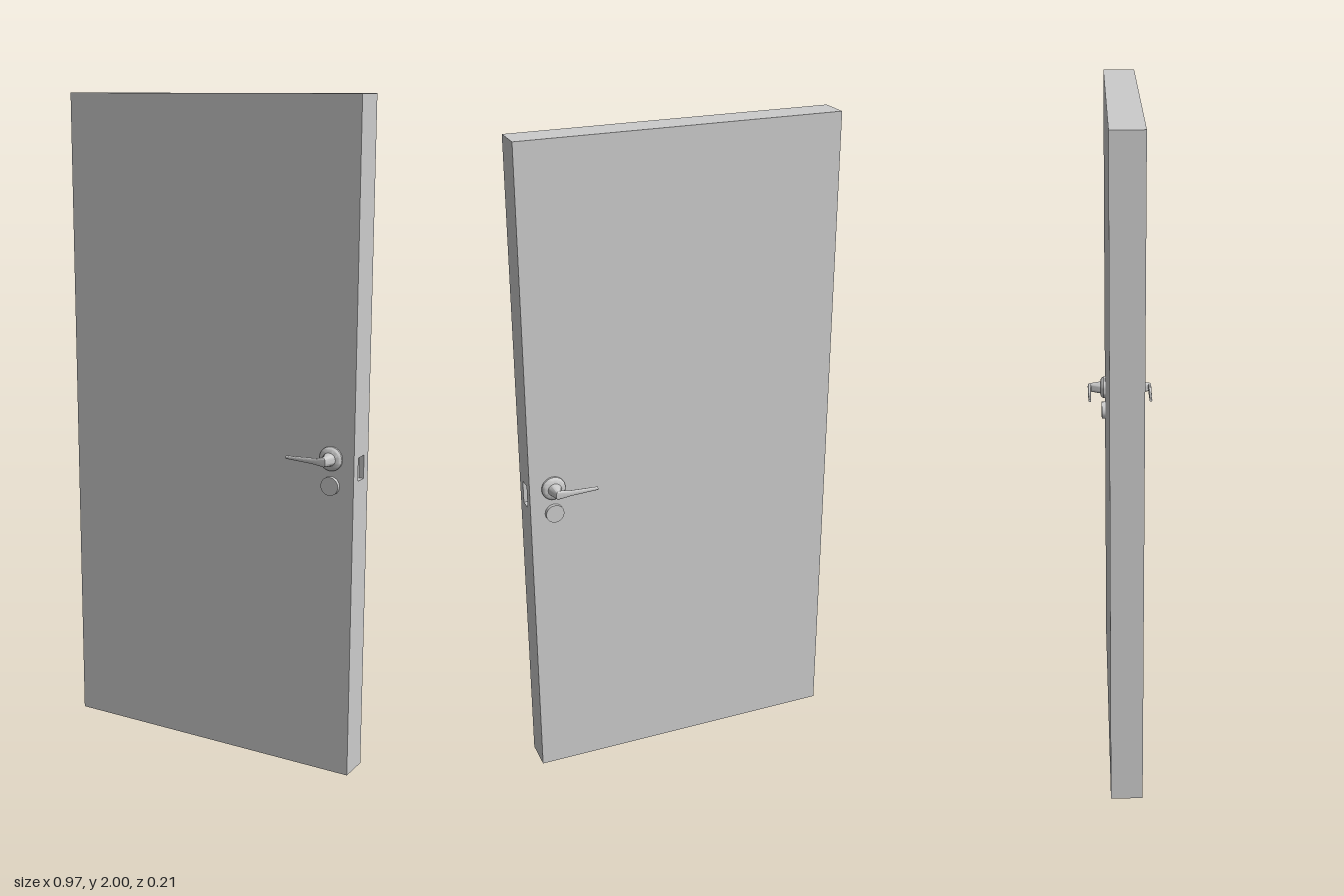
import * as THREE from 'three';
import { toCreasedNormals } from 'three/addons/utils/BufferGeometryUtils.js';

const material = new THREE.MeshStandardMaterial({ color: 0xcccccc });
const WIDTH = 0.97, HEIGHT = 2, DEPTH = 0.095, MID_Z = -0.0025;
const RECESS = 0.015;
const KNOB_X = 0.413, HANDLE_Y = 0.977, LOCK_Y = 0.896;

function add(parent, name, geometry, x = 0, y = 0, z = 0) {
  const mesh = new THREE.Mesh(geometry, material);
  mesh.name = name;
  mesh.position.set(x, y, z);
  parent.add(mesh);
  return mesh;
}

// Clockwise-safe rectangle outline, used for the edge strip and its latch opening
function rectangle(Type, x0, y0, x1, y1) {
  const path = new Type();
  path.moveTo(x0, y0).lineTo(x1, y0).lineTo(x1, y1).lineTo(x0, y1).closePath();
  return path;
}

// Loft of ellipses; each section is [inner x, inner z, outer x, outer z, half height]
function leverGeometry(sections, sides = 20) {
  const positions = [], index = [];
  for (const [ix, iz, ox, oz, h] of sections) {
    for (let i = 0; i < sides; i++) {
      const t = (i / sides) * Math.PI * 2, c = Math.cos(t) / 2;
      positions.push((ix + ox) / 2 + (ox - ix) * c, h * Math.sin(t), (iz + oz) / 2 + (oz - iz) * c);
    }
  }
  for (let s = 0; s < sections.length - 1; s++) {
    for (let i = 0; i < sides; i++) {
      const a = s * sides + i, b = s * sides + (i + 1) % sides;
      index.push(a, b, b + sides, a, b + sides, a + sides);
    }
  }
  // Close the tip
  const last = (sections.length - 1) * sides;
  for (let i = 1; i < sides - 1; i++) index.push(last, last + i, last + i + 1);
  const geometry = new THREE.BufferGeometry();
  geometry.setAttribute('position', new THREE.Float32BufferAttribute(positions, 3));
  geometry.setIndex(index);
  return toCreasedNormals(geometry, 0.7);
}

// Rose and bent lever, with the door face at z = 0
function createHandle(name) {
  const handle = new THREE.Group();
  handle.name = name;
  const profile = [[0.036, 0], [0.036, 0.006], [0.031, 0.013], [0.025, 0.016], [0, 0.016]]
    .map(([r, d]) => new THREE.Vector2(r, d));
  const rose = new THREE.LatheGeometry(profile, 28).rotateX(Math.PI / 2);
  add(handle, 'rose', toCreasedNormals(rose, 0.5));
  add(handle, 'lever', leverGeometry([
    [-0.022, 0.014, 0.021, 0.014, 0.02],
    [-0.009, 0.046, 0.009, 0.058, 0.014],
    [-0.035, 0.0465, -0.035, 0.0575, 0.009],
    [-0.12, 0.047, -0.12, 0.056, 0.005],
  ]));
  return handle;
}

export function createModel() {
  const door = new THREE.Group();
  door.name = 'door';

  // Door leaf, with a thin edge strip that leaves the latch pocket open
  add(door, 'leaf', new THREE.BoxGeometry(WIDTH - RECESS, HEIGHT, DEPTH), -RECESS / 2, HEIGHT / 2, MID_Z);
  const edge = rectangle(THREE.Shape, -DEPTH / 2, 0, DEPTH / 2, HEIGHT);
  edge.holes.push(rectangle(THREE.Path, -0.019, 0.912, 0.019, 0.982));
  const strip = new THREE.ExtrudeGeometry(edge, { depth: RECESS, bevelEnabled: false }).rotateY(Math.PI / 2);
  add(door, 'latchEdge', strip, WIDTH / 2 - RECESS, 0, MID_Z);

  // Handle and lock cover on both faces; the back set is turned about x
  for (const [label, side] of [['front', 1], ['back', -1]]) {
    const faceZ = MID_Z + side * DEPTH / 2;
    const handle = createHandle(label + 'Handle');
    handle.position.set(KNOB_X, HANDLE_Y, faceZ);
    if (side < 0) handle.rotation.x = Math.PI;
    door.add(handle);
    const cover = new THREE.CylinderGeometry(0.028, 0.028, 0.012, 16).rotateX(Math.PI / 2);
    add(door, label + 'LockCover', toCreasedNormals(cover, 0.6), KNOB_X, LOCK_Y, faceZ + side * 0.006);
  }
  return door;
}
